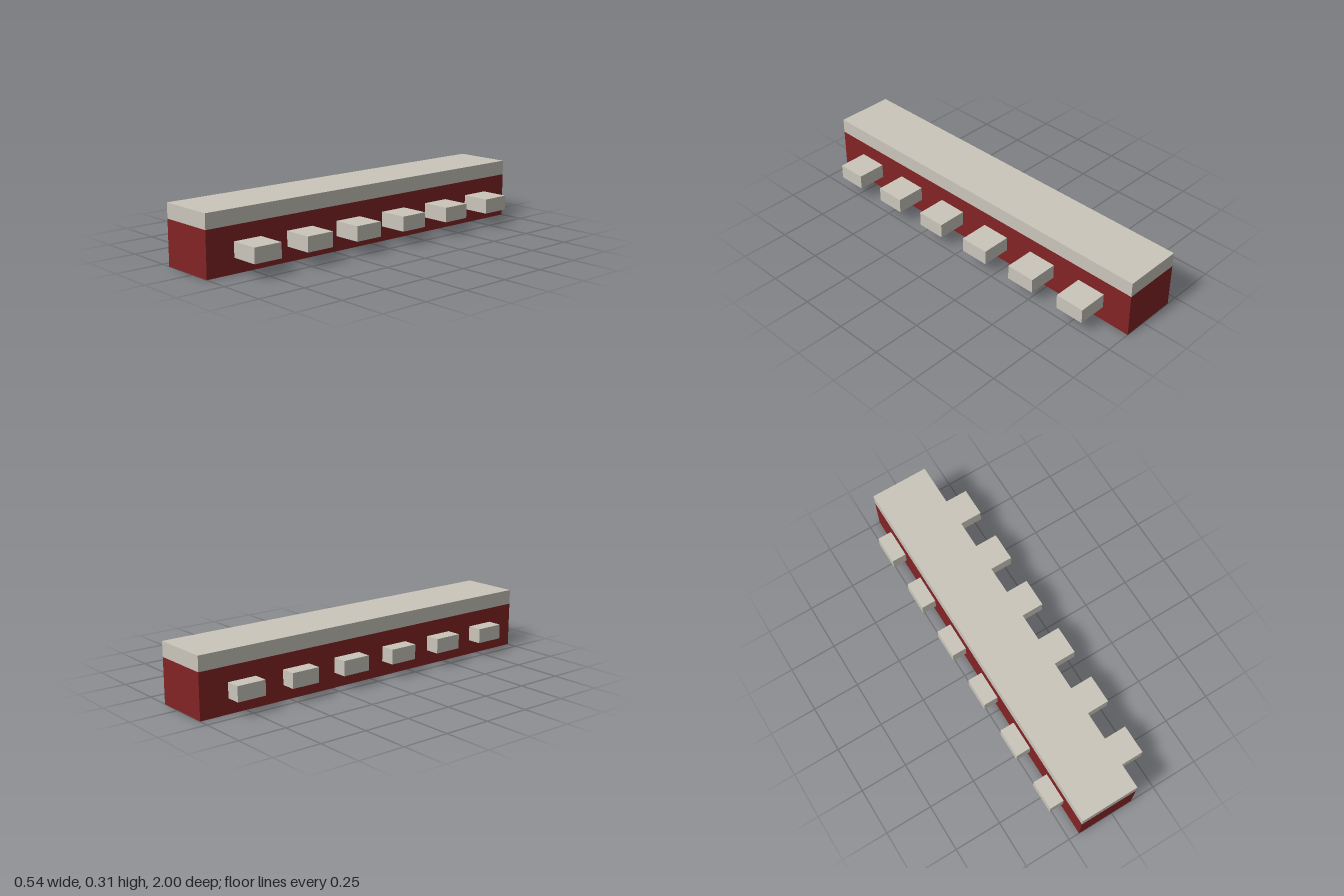
import * as THREE from 'three';

const U = 2 / 26; // the model sits on a grid of 26 units along its length

export function createModel() {
  const model = new THREE.Group();
  model.name = 'slabWithPegs';
  const red = new THREE.MeshStandardMaterial({ color: 0x822424 });
  red.name = 'dark red';
  const cream = new THREE.MeshStandardMaterial({ color: 0xcac6bb });
  cream.name = 'warm grey';

  // Box given by its minimum and maximum corners in grid units
  function box(name, material, [x0, y0, z0], [x1, y1, z1]) {
    const geometry = new THREE.BoxGeometry((x1 - x0) * U, (y1 - y0) * U, (z1 - z0) * U);
    const mesh = new THREE.Mesh(geometry, material);
    mesh.position.set((x0 + x1) / 2 * U, (y0 + y1) / 2 * U, (z0 + z1) / 2 * U);
    mesh.name = name;
    model.add(mesh);
  }

  // Long body and the cap on top of it
  box('body', red, [-2.5, 0, -13], [1.5, 3, 13]);
  box('cap', cream, [-2.5, 3, -13], [1.5, 4, 13]);

  // Six pairs of side pegs: long on the left, short on the right
  for (let i = 0; i < 6; i++) {
    const z = -10 + i * 4;
    box('leftPeg', cream, [1.5, 1, z - 1], [3.5, 2, z + 1]);
    box('rightPeg', cream, [-3.5, 1, z - 1], [-2.5, 2, z + 1]);
  }
  return model;
}
